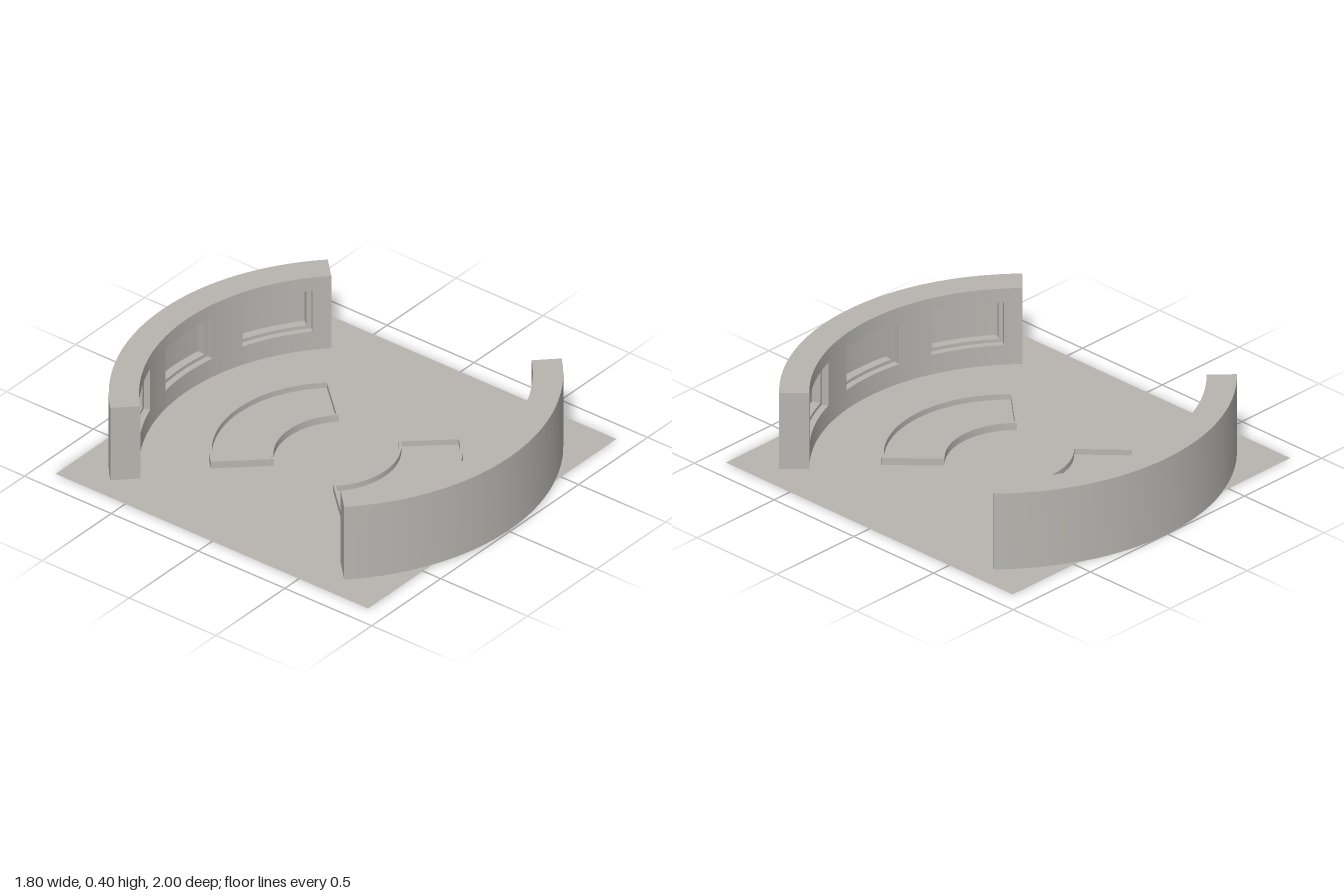
import * as THREE from 'three';
import { toCreasedNormals } from 'three/addons/utils/BufferGeometryUtils.js';

const stone = new THREE.MeshStandardMaterial({ color: 0xb8b5b0, side: THREE.DoubleSide });
stone.name = 'warm grey stone';

const rad = THREE.MathUtils.degToRad;

// Curved wall: a cross-section swept round an arc, pushed in where the window niches are
function wallGeometry() {
  const centreZ = 0.115, outerR = 1.115, innerR = 0.978, height = 0.39;
  const frameDepth = 0.03, paneDepth = 0.07;

  const section = (deg, frame, pane) => {
    const a = rad(deg), d1 = innerR + frame, d2 = innerR + pane;
    return [
      [outerR, 0], [outerR, height], [innerR, height],
      [innerR, 0.32], [d1, 0.32], [d1, 0.307], [d2, 0.307],
      [d2, 0.117], [d1, 0.117], [d1, 0.1], [innerR, 0.1], [innerR, 0],
    ].map(([r, y]) => new THREE.Vector3(r * Math.sin(a), y, centreZ - r * Math.cos(a)));
  };

  const sections = [];
  const span = (from, to, steps, frame, pane) => {
    for (let i = 0; i <= steps; i++) {
      sections.push(section(from + (to - from) * i / steps, frame, pane));
    }
  };
  span(-45, -40, 2, 0, 0);
  for (const mid of [-30, 0, 30]) {
    span(mid - 10, mid - 8.8, 1, frameDepth, frameDepth);
    span(mid - 8.8, mid + 8.8, 6, frameDepth, paneDepth);
    span(mid + 8.8, mid + 10, 1, frameDepth, frameDepth);
    span(mid + 10, Math.min(mid + 20, 45), 4, 0, 0);
  }

  const pos = [];
  const tri = (a, b, c) => {
    const area = b.clone().sub(a).cross(c.clone().sub(a)).length();
    if (area > 1e-8) pos.push(...a.toArray(), ...b.toArray(), ...c.toArray());
  };
  const quad = (a, b, c, d) => { tri(a, b, c); tri(a, c, d); };

  for (let i = 0; i < sections.length - 1; i++) {
    const s = sections[i], t = sections[i + 1], n = s.length;
    for (let k = 0; k < n; k++) quad(s[k], s[(k + 1) % n], t[(k + 1) % n], t[k]);
  }
  // end faces
  const s = sections[0], t = sections[sections.length - 1];
  quad(s[0], s[11], s[2], s[1]);
  quad(t[0], t[1], t[2], t[11]);

  const geo = new THREE.BufferGeometry();
  geo.setAttribute('position', new THREE.Float32BufferAttribute(pos, 3));
  return toCreasedNormals(geo, 0.5);
}

// Fan outline from an outer and an inner arc
function fanPoints(outerR, outerDeg, innerR, innerDeg, innerCentre) {
  const points = [], steps = 24;
  for (let i = 0; i <= steps; i++) {
    const a = rad(outerDeg * (1 - 2 * i / steps));
    points.push(new THREE.Vector2(outerR * Math.sin(a), outerR * Math.cos(a)));
  }
  for (let i = 0; i <= steps; i++) {
    const a = rad(innerDeg * (2 * i / steps - 1));
    points.push(new THREE.Vector2(innerR * Math.sin(a), innerR * Math.cos(a) + innerCentre));
  }
  return points;
}

function raised(shape, height) {
  const geo = new THREE.ExtrudeGeometry(shape, { depth: height, bevelEnabled: false });
  geo.rotateX(-Math.PI / 2);
  return toCreasedNormals(geo, 0.5);
}

export function createModel() {
  const model = new THREE.Group();
  model.name = 'curvedCourtyard';
  const add = (parent, name, geo) => {
    const mesh = new THREE.Mesh(geo, stone);
    mesh.name = name;
    parent.add(mesh);
    return mesh;
  };

  // square floor
  const floor = add(model, 'floor', new THREE.PlaneGeometry(1.8, 1.8).rotateX(-Math.PI / 2));
  floor.position.y = 0.002;

  const wall = wallGeometry();
  const outline = fanPoints(0.573, 48.5, 0.326, 46.1, -0.056);
  const opening = fanPoints(0.56, 47.3, 0.339, 44.4, -0.056);
  const rimShape = new THREE.Shape(outline);
  rimShape.holes.push(new THREE.Path(opening));
  const rim = raised(rimShape, 0.038);
  const bed = raised(new THREE.Shape(opening), 0.01);

  // the same wall and planter at the back and the front
  for (const side of ['back', 'front']) {
    const half = new THREE.Group();
    half.name = side + 'Half';
    const front = side === 'front';
    half.rotation.y = front ? Math.PI : 0;
    add(half, side + 'Wall', wall).position.y = front ? 0.01 : 0;
    add(half, side + 'PlanterRim', rim);
    add(half, side + 'PlanterBed', bed);
    model.add(half);
  }
  return model;
}
